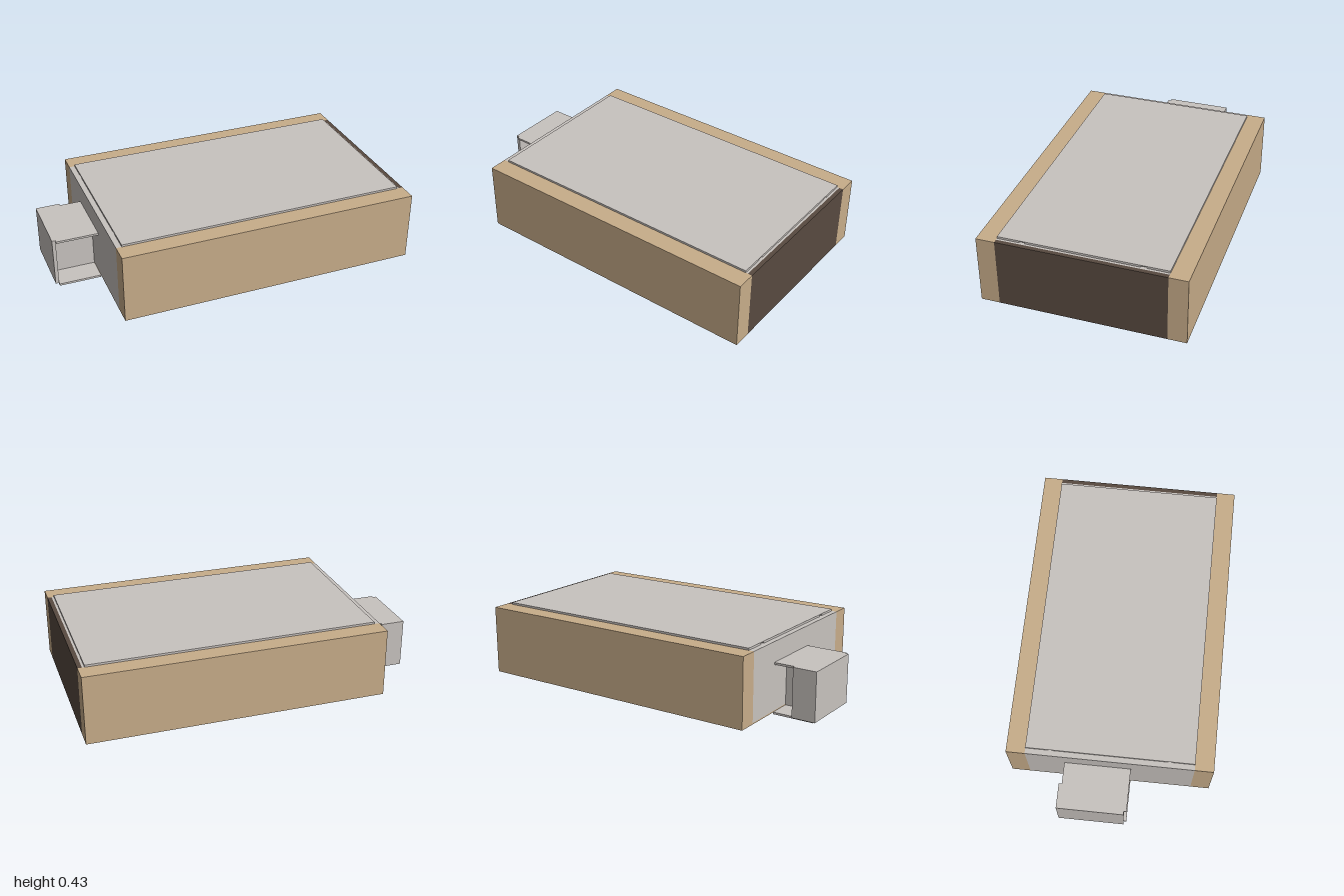
import * as THREE from 'three';

const tan = new THREE.MeshStandardMaterial({ name: 'tan', color: 0xc8ad8a });
const grey = new THREE.MeshStandardMaterial({ name: 'warm grey', color: 0xc8c3bf });
const brown = new THREE.MeshStandardMaterial({ name: 'dark brown', color: 0x584a40 });

// Box given by its lower and upper corners
function block(name, material, [x0, y0, z0], [x1, y1, z1]) {
  const mesh = new THREE.Mesh(new THREE.BoxGeometry(x1 - x0, y1 - y0, z1 - z0), material);
  mesh.position.set((x0 + x1) / 2, (y0 + y1) / 2, (z0 + z1) / 2);
  mesh.name = name;
  return mesh;
}

export function createModel() {
  const model = new THREE.Group();
  model.name = 'block';

  // Body: grey core on a tan base, tan slabs along both long sides, dark end
  const body = new THREE.Group();
  body.name = 'body';
  body.add(
    block('core', grey, [-0.737, 0.022, -0.475], [0.975, 0.418, 0.475]),
    block('coreBase', tan, [-0.737, 0.014, -0.475], [0.975, 0.022, 0.475]),
    block('endPanel', brown, [0.975, 0.014, -0.475], [1, 0.418, 0.475]),
    block('frontSlab', tan, [-0.737, 0.014, 0.475], [1, 0.418, 0.582]),
    block('backSlab', tan, [-0.737, 0.014, -0.582], [1, 0.418, -0.475]),
    block('bottomPanel', tan, [-0.705, 0.003, -0.475], [0.962, 0.014, 0.475]),
  );

  // Lid resting on three strips, with two narrow gaps between them
  const lid = new THREE.Group();
  lid.name = 'lid';
  lid.add(block('lidPlate', grey, [-0.705, 0.425, -0.475], [0.962, 0.43, 0.475]));
  for (const [z0, z1] of [[-0.475, -0.35], [-0.318, 0.318], [0.35, 0.475]]) {
    lid.add(block('lidStrip', grey, [-0.705, 0.418, z0], [0.962, 0.425, z1]));
  }

  // Bracket at the far end: two shelves, a web between them and an L-shaped cover
  const bracket = new THREE.Group();
  bracket.name = 'bracket';
  bracket.add(
    block('topShelf', grey, [-0.98, 0.288, -0.258], [-0.737, 0.3, 0.12]),
    block('bottomShelf', grey, [-0.98, 0.004, -0.258], [-0.737, 0.016, 0.12]),
    block('web', grey, [-0.98, 0.016, -0.12], [-0.737, 0.288, -0.02]),
    block('coverEnd', grey, [-1, 0.014, -0.275], [-0.98, 0.3, 0.105]),
    block('coverSide', grey, [-0.98, 0.014, -0.275], [-0.86, 0.3, -0.258]),
  );

  model.add(body, lid, bracket);
  return model;
}
